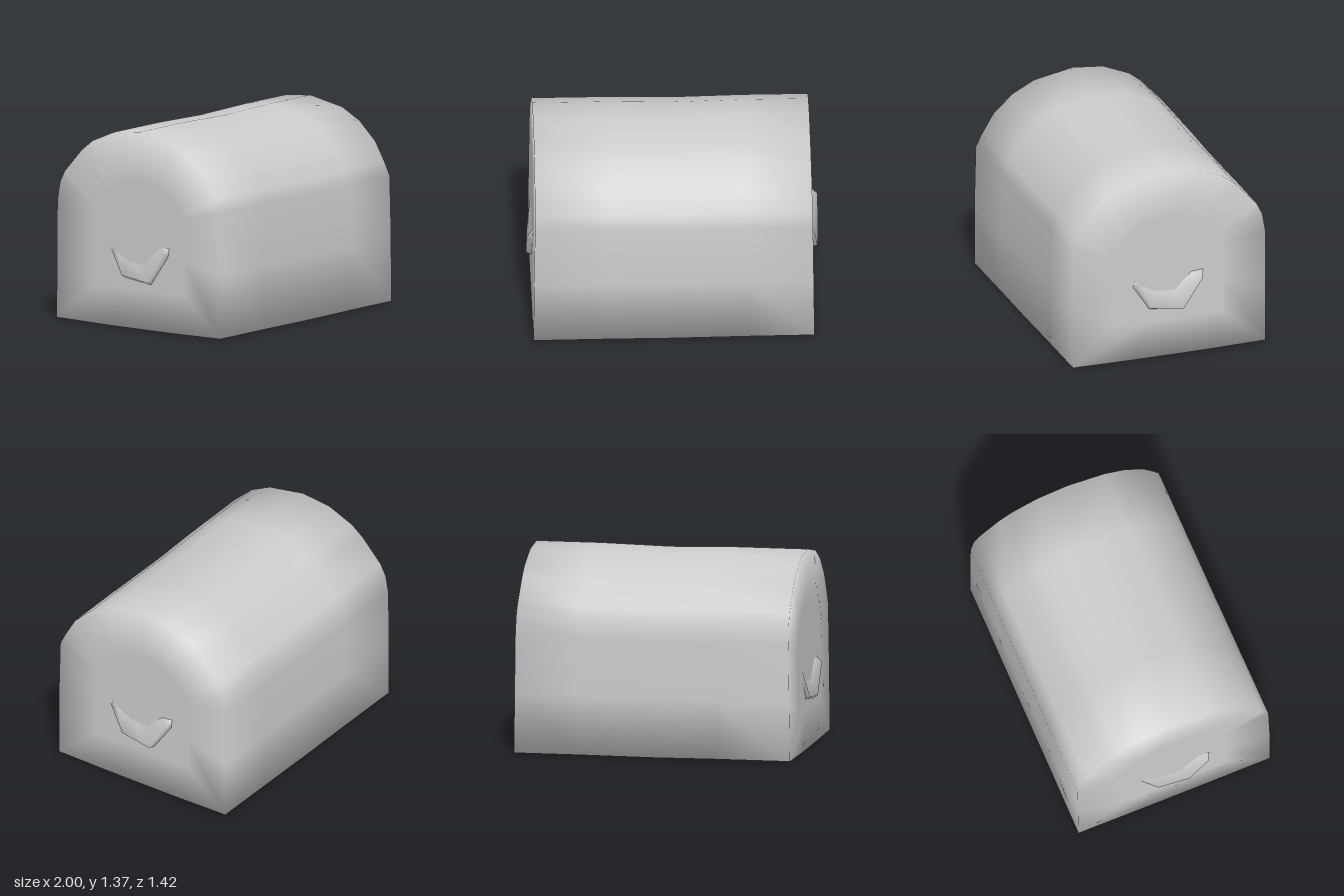
import * as THREE from 'three';
import { mergeVertices } from 'three/addons/utils/BufferGeometryUtils.js';

const material = new THREE.MeshStandardMaterial({ color: 0xcccccc, side: THREE.DoubleSide });

// Skin a list of equal-length rows of [x, y, z] points with smooth, welded normals.
function skin(rows, closed) {
  const n = rows[0].length;
  const index = [];
  for (let i = 0; i < rows.length - 1; i++) {
    for (let j = 0; j < (closed ? n : n - 1); j++) {
      const k = (j + 1) % n;
      const a = i * n + j, b = a + n, c = i * n + k, d = c + n;
      index.push(a, b, c, b, d, c);
    }
  }
  let geometry = new THREE.BufferGeometry();
  geometry.setAttribute('position', new THREE.Float32BufferAttribute(rows.flat(2), 3));
  geometry.setIndex(index);
  geometry = mergeVertices(geometry, 1e-4);
  geometry.computeVertexNormals();
  return geometry;
}

// Arched cross-section as [z, y], from front bottom over the lid to the back and underneath.
const profile = [
  [0.705, 0.01], [0.708, 0.45], [0.70, 0.88], [0.655, 0.97], [0.575, 1.105], [0.435, 1.235],
  [0.28, 1.315], [0, 1.368], [-0.22, 1.345], [-0.41, 1.265], [-0.5, 1.195], [-0.65, 1.03],
  [-0.69, 0.95], [-0.712, 0.82], [-0.712, 0.42], [-0.71, 0.012], [-0.25, 0.005], [0.25, 0.005],
];

// Stations along x: [x, scale about the middle, vertical sag]; scales below 1 fill the end walls.
const stations = [
  [-0.962, 0, 0], [-0.962, 0.55, 0], [-0.962, 1, 0], [-0.45, 1, 0], [0, 1, -0.008],
  [0.5, 1, 0], [0.95, 1, 0], [0.95, 0.55, 0], [0.95, 0, 0],
];

function chestBody() {
  const rows = stations.map(([x, s, sag]) => profile.map(([z, y]) => {
    const py = 0.6 + (y - 0.6) * s + (y > 0.1 ? sag * y : sag * 0.4);
    // end walls lean in slightly, and the front tapers toward the left end
    const px = x * (1.004 - 0.013 * py);
    const pz = z * s * (z > 0 ? 1 - 0.013 * (x + 0.96) : 1);
    return [px, py, pz];
  }));
  return skin(rows, true);
}

// U-shaped ridge swelling out of an end wall and sloping back up into it.
function handle(wall) {
  const ridge = [[0.965, 0.56, 0.24], [0.99, 0.385, 0.13], [1.0, 0.355, -0.1], [1.0, 0.565, -0.24]];
  const inner = [[0.56, 0.2], [0.5, 0.08], [0.49, -0.05], [0.6, -0.17]];
  const start = [wall, 0.585, 0.24], end = [wall, 0.61, -0.26];
  const outer = ridge.map(([, y, z]) => [wall, y - 0.022, z * 1.05]);
  const slope = inner.map(([y, z]) => [wall, y, z]);
  return skin([outer, ridge, slope].map((row) => [start, ...row, end]), false);
}

export function createModel() {
  const group = new THREE.Group();
  const add = (name, geometry) => {
    const mesh = new THREE.Mesh(geometry, material);
    mesh.name = name;
    group.add(mesh);
    return mesh;
  };
  add('chestBody', chestBody());
  add('leftHandle', handle(0.943));
  // The opposite handle is the same part turned half a revolution
  const right = add('rightHandle', handle(0.953));
  right.rotation.y = Math.PI;
  right.position.y = -0.015;
  return group;
}
